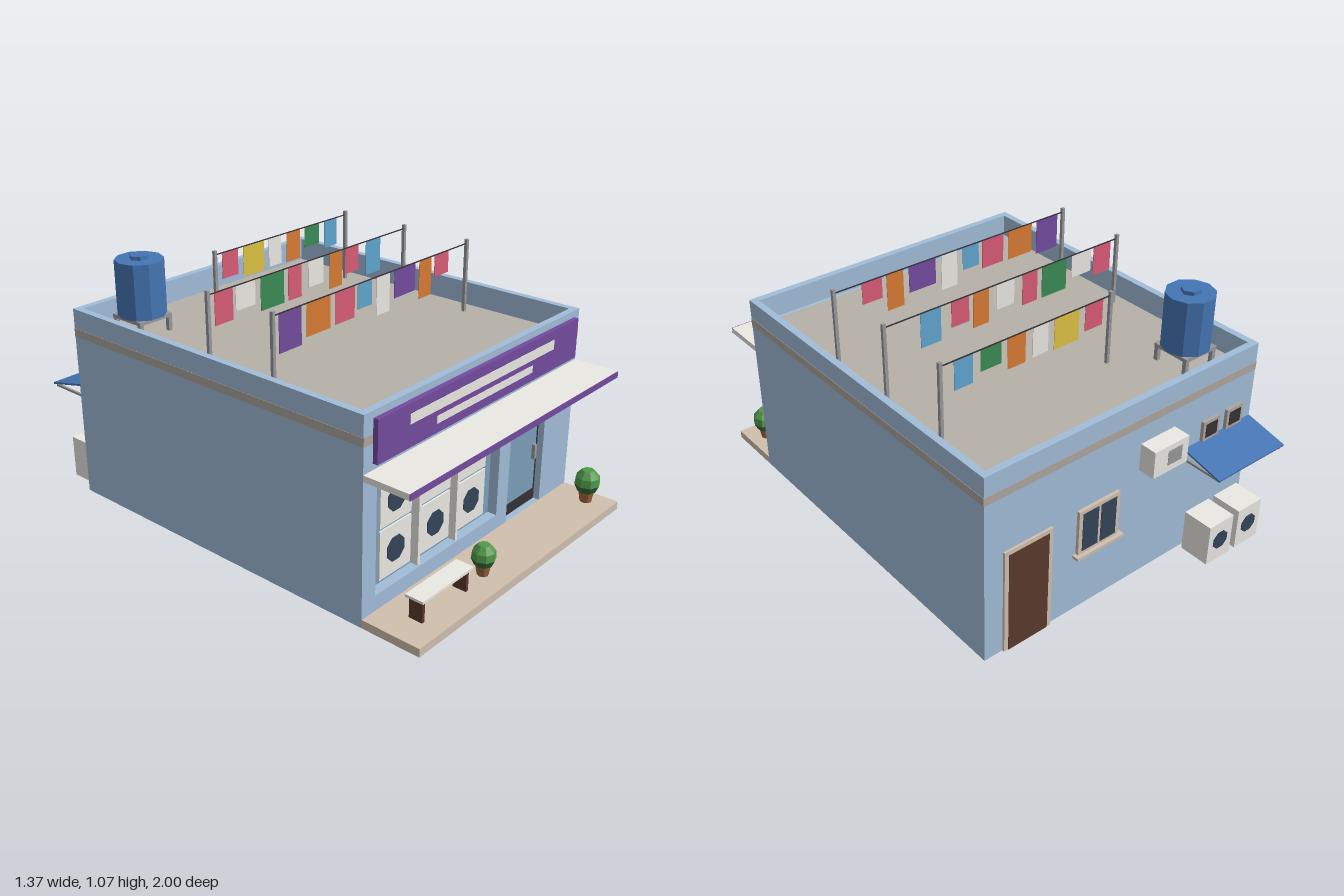
import * as THREE from 'three';

const C = {
  wall: 0xa1bdd9, roof: 0xb5b1a8, tan: 0xd0bfae, band: 0xaea69f, purple: 0x744b9e, white: 0xebe9e3,
  grey: 0x98999b, dark: 0x363236, glass: 0x7c9fba, navy: 0x33445a, blue: 0x4475b4, wood: 0x5a3a2c,
  pot: 0xa0663f, leaf: 0x52994a, leafDark: 0x336834, orange: 0xd87b34, pink: 0xd85c76, sky: 0x60a6d0,
  green: 0x3b8a55, yellow: 0xdcc242,
};
const mats = {};
const mat = (c) => (mats[c] ??= new THREE.MeshStandardMaterial({ color: C[c], flatShading: true }));

export function createModel() {
  const model = new THREE.Group();
  const add = (name, geo, color, parent = model) => {
    const m = new THREE.Mesh(geo, mat(color));
    m.name = name;
    parent.add(m);
    return m;
  };
  // box given by its min and max along each axis
  const box = (name, color, x0, x1, y0, y1, z0, z1, parent = model) => {
    const m = add(name, new THREE.BoxGeometry(x1 - x0, y1 - y0, z1 - z0), color, parent);
    m.position.set((x0 + x1) / 2, (y0 + y1) / 2, (z0 + z1) / 2);
    return m;
  };
  // upright prism or cone section
  const prism = (name, color, rTop, rBottom, y0, y1, x, z, sides, parent = model) => {
    const m = add(name, new THREE.CylinderGeometry(rTop, rBottom, y1 - y0, sides), color, parent);
    m.position.set(x, (y0 + y1) / 2, z);
    return m;
  };
  // eight-sided disc facing along z
  const disc = (name, color, r, x, y, z, depth) => {
    const g = new THREE.CylinderGeometry(r, r, depth, 8).rotateY(Math.PI / 8).rotateX(Math.PI / 2);
    add(name, g, color).position.set(x, y, z);
  };
  const rect = (shape, x0, x1, y0, y1) =>
    shape.moveTo(x0, y0).lineTo(x1, y0).lineTo(x1, y1).lineTo(x0, y1).closePath();

  // Thin shell, open underneath; the front has recesses for window and door
  const W = 0.685, F = 0.74, B = -0.81, H = 0.84, R = 0.74, P = 0.03, T = 0.006, D = 0.045;
  const front = rect(new THREE.Shape(), -W, W, 0, R);
  front.holes.push(rect(new THREE.Path(), -0.61, 0.155, 0.1, 0.555), rect(new THREE.Path(), 0.23, 0.48, 0.035, 0.54));
  add('frontWall', new THREE.ExtrudeGeometry(front, { depth: D, bevelEnabled: false }), 'wall').position.z = F - D;
  box('frontWallLining', 'wall', -W + T, W - T, 0, 0.6, F - D - 0.004, F - D);
  box('backWall', 'wall', -W, W, 0, R, B, B + T);
  for (const s of [-1, 1]) {
    const x = s * (W - T / 2);
    box('sideWall', 'wall', x - T / 2, x + T / 2, 0, R, B + T, F - D);
  }
  box('roof', 'roof', -W + T, W - T, 0.585, R, B + T, F - D);

  // Parapet
  box('frontParapet', 'wall', -W, W, R, H, F - P, F);
  box('backParapet', 'wall', -W, W, R, H, B, B + P);
  for (const s of [-1, 1]) {
    const x = s * (W - P / 2);
    box('sideParapet', 'wall', x - P / 2, x + P / 2, R, H, B + P, F - P);
  }

  // Painted band around the walls
  const e = 0.0015;
  box('frontBand', 'band', -W, W, 0.72, 0.755, F - 0.01, F + e);
  box('backBand', 'band', -W, W, 0.72, 0.755, B - e, B + 0.01);
  for (const s of [-1, 1]) box('sideBand', 'band', s * W - e, s * W + e, 0.72, 0.755, B, F);

  // Front step, canopy and sign
  box('step', 'tan', -W, W, 0, 0.035, F, 1);
  box('canopy', 'white', -W, W, 0.591, 0.616, F, 0.938);
  box('canopyEdge', 'purple', -W, W, 0.59, 0.616, 0.938, 0.941);
  box('signBoard', 'purple', -0.64, 0.64, 0.645, 0.815, 0.744, 0.765);
  box('signStripe', 'white', -0.465, 0.46, 0.735, 0.775, 0.76, 0.767);
  box('signStripe', 'white', -0.31, 0.31, 0.682, 0.712, 0.76, 0.767);

  // Recessed shop window with two rows of washing machines
  box('windowPane', 'glass', -0.61, 0.155, 0.1, 0.555, F - D, 0.698);
  for (const x of [-0.455, -0.215, 0.018]) {
    for (const [y0, y1, yc] of [[0.115, 0.318, 0.215], [0.33, 0.52, 0.425]]) {
      box('washer', 'white', x - 0.091, x + 0.091, y0, y1, 0.697, 0.706);
      disc('washerDoor', 'navy', 0.054, x, yc, 0.706, 0.006);
    }
  }
  for (const x of [-0.345, -0.108]) box('mullion', 'white', x - 0.007, x + 0.007, 0.1, 0.555, 0.698, 0.732);

  // Recessed front door
  box('doorFrame', 'dark', 0.23, 0.48, 0.035, 0.54, F - D, 0.712);
  box('doorGlass', 'glass', 0.248, 0.464, 0.09, 0.524, 0.705, 0.715);
  box('doorHandle', 'grey', 0.435, 0.45, 0.24, 0.305, 0.715, 0.73);

  // Bench
  box('benchSeat', 'white', -0.573, -0.265, 0.124, 0.135, 0.845, 0.925);
  for (const x of [-0.553, -0.288]) box('benchLeg', 'wood', x - 0.007, x + 0.007, 0.035, 0.124, 0.855, 0.915);

  // Potted shrubs
  for (const [x, s] of [[-0.152, 0.9], [0.606, 1]]) {
    const plant = new THREE.Group();
    plant.name = 'pottedPlant';
    plant.position.set(x, 0.035, 0.892);
    plant.scale.setScalar(s);
    prism('pot', 'pot', 0.037, 0.026, 0, 0.062, 0, 0, 8, plant);
    prism('shrubBase', 'leafDark', 0.055, 0.04, 0.05, 0.082, 0, 0, 8, plant);
    prism('shrubMiddle', 'leaf', 0.051, 0.055, 0.082, 0.116, 0, 0, 8, plant);
    prism('shrubTop', 'leaf', 0.026, 0.051, 0.116, 0.145, 0, 0, 8, plant);
    model.add(plant);
  }

  // Back door and window
  box('backDoorFrame', 'tan', 0.374, 0.6, 0, 0.475, B - 0.01, B);
  box('backDoor', 'wood', 0.393, 0.581, 0, 0.457, B - 0.012, B);
  box('backWindowFrame', 'tan', 0.045, 0.25, 0.275, 0.48, B - 0.014, B);
  for (const x of [0.102, 0.193]) box('backWindowPane', 'navy', x - 0.039, x + 0.039, 0.29, 0.464, B - 0.016, B);
  box('backWindowSill', 'tan', 0.028, 0.265, 0.264, 0.277, B - 0.03, B);

  // Wall-mounted cooler, vents and outdoor units
  box('wallCooler', 'white', -0.24, -0.06, 0.52, 0.64, B - 0.075, B);
  box('coolerGrille', 'grey', -0.205, -0.132, 0.55, 0.615, B - 0.077, B - 0.07);
  for (const x of [-0.44, -0.575]) {
    box('ventFrame', 'band', x - 0.046, x + 0.046, 0.505, 0.595, B - 0.015, B);
    box('ventGrille', 'dark', x - 0.032, x + 0.032, 0.519, 0.581, B - 0.017, B);
  }
  for (const x of [-0.402, -0.57]) {
    box('outdoorUnit', 'white', x - 0.068, x + 0.068, 0.003, 0.19, -0.965, -0.83);
    disc('outdoorFan', 'navy', 0.043, x, 0.1, -0.965, 0.005);
  }

  // Sloping back awning on brackets
  const awning = box('backAwning', 'blue', -W, -0.308, 0.473, 0.481, -1, -0.805);
  awning.rotation.x = -Math.atan2(0.045, 0.19);
  for (const x of [-0.67, -0.325]) {
    box('awningBracket', 'grey', x - 0.005, x + 0.005, 0.439, 0.449, -0.99, B);
  }

  // Water tank on its stand
  const tx = -0.488, tz = -0.61;
  box('tankPlatform', 'grey', tx - 0.085, tx + 0.085, 0.8, 0.815, tz - 0.085, tz + 0.085);
  for (const i of [-1, 1]) for (const j of [-1, 1]) {
    const x = tx + i * 0.075, z = tz + j * 0.075;
    box('tankLeg', 'grey', x - 0.009, x + 0.009, R, 0.8, z - 0.009, z + 0.009);
  }
  prism('waterTank', 'blue', 0.101, 0.101, 0.815, 1.05, tx, tz, 10).rotation.y = Math.PI / 10;
  prism('tankLid', 'blue', 0.04, 0.04, 1.05, 1.066, tx, tz, 6).rotation.y = Math.PI / 6;

  // Washing lines: [z, left post, right post, cloths as [color, x0, x1, bottom]]
  const lines = [
    [0.245, -0.6, 0.575, [['purple', -0.568, -0.45, 0.888], ['orange', -0.422, -0.292, 0.91],
      ['pink', -0.265, -0.152, 0.913], ['sky', -0.133, -0.05, 0.938], ['white', -0.02, 0.06, 0.882],
      ['purple', 0.09, 0.222, 0.925], ['orange', 0.25, 0.33, 0.88], ['pink', 0.352, 0.446, 0.948]]],
    [-0.09, -0.6, 0.575, [['pink', -0.565, -0.47, 0.91], ['white', -0.455, -0.35, 0.94],
      ['green', -0.32, -0.19, 0.903], ['pink', -0.165, -0.088, 0.904], ['white', -0.045, 0.045, 0.93],
      ['orange', 0.083, 0.16, 0.89], ['pink', 0.18, 0.265, 0.93], ['sky', 0.315, 0.41, 0.893]]],
    [-0.43, -0.24, 0.575, [['pink', -0.2, -0.11, 0.93], ['yellow', -0.078, 0.045, 0.908],
      ['white', 0.075, 0.15, 0.915], ['orange', 0.185, 0.27, 0.91], ['green', 0.3, 0.395, 0.95],
      ['sky', 0.43, 0.513, 0.918]]],
  ];
  for (const [z, x0, x1, cloths] of lines) {
    for (const x of [x0, x1]) box('linePost', 'grey', x - 0.007, x + 0.007, R, 1.06, z - 0.007, z + 0.007);
    box('washingLine', 'dark', x0, x1, 1.04, 1.044, z - 0.002, z + 0.002);
    for (const [color, a, b, y] of cloths) box('cloth', color, a, b, y, 1.042, z - 0.001, z + 0.001);
  }
  return model;
}
